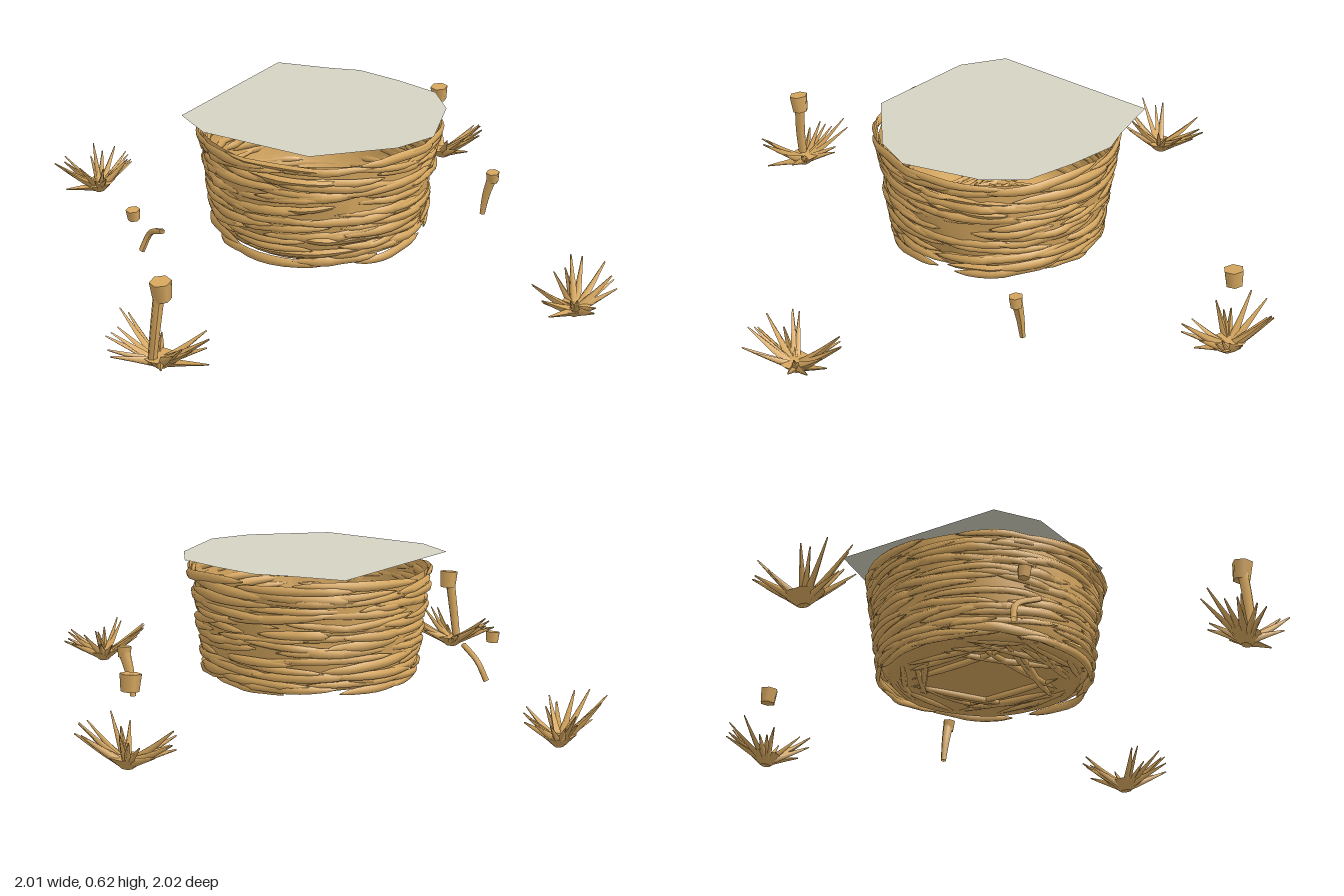
import * as THREE from 'three';
import { mergeGeometries } from 'three/addons/utils/BufferGeometryUtils.js';

let seed = 7;
const rand = (a = 0, b = 1) => {
  seed = (seed * 16807) % 2147483647;
  return a + (b - a) * (seed / 2147483647);
};
const V = (x, y, z) => new THREE.Vector3(x, y, z);

// Tube through points whose radius follows radiusAt(t); tall stretches it upright
function taperedTube(points, radiusAt, segs, sides, tall = 1) {
  const curve = new THREE.CatmullRomCurve3(points);
  const geo = new THREE.TubeGeometry(curve, segs, 1, sides);
  const pos = geo.attributes.position, nor = geo.attributes.normal;
  for (let i = 0; i <= segs; i++) {
    const p = curve.getPointAt(i / segs), r = radiusAt(i / segs);
    for (let j = 0; j <= sides; j++) {
      const k = i * (sides + 1) + j;
      pos.setXYZ(k, p.x + nor.getX(k) * r, p.y + nor.getY(k) * r * tall, p.z + nor.getZ(k) * r);
    }
  }
  geo.computeVertexNormals();
  return geo;
}

// Outer radius of the nest at a height
const wallRadius = y => 0.425 + 0.055 * Math.min(1, Math.max(0, (y - 0.13) / 0.42));

export function createModel() {
  seed = 7;
  const straw = new THREE.MeshStandardMaterial({ color: 0xd6a75f, side: THREE.DoubleSide });
  straw.name = 'straw';
  const pale = new THREE.MeshStandardMaterial({ color: 0xd5d3c2, side: THREE.DoubleSide });
  pale.name = 'paleSheet';
  const model = new THREE.Group();
  model.name = 'nestWithTufts';
  const add = (geo, mat, name, parent = model) => {
    const mesh = new THREE.Mesh(geo, mat);
    mesh.name = name;
    parent.add(mesh);
    return mesh;
  };

  // Bumpy bowl behind the twigs
  const profile = [[0.001, 0.16], [0.25, 0.15], [0.39, 0.14], [0.43, 0.19], [0.445, 0.28],
    [0.46, 0.38], [0.47, 0.48], [0.475, 0.57]].map(p => new THREE.Vector2(...p));
  const bowl = new THREE.LatheGeometry(profile, 32);
  const bp = bowl.attributes.position;
  for (let i = 0; i < bp.count; i++) {
    const a = Math.atan2(bp.getZ(i), bp.getX(i));
    const s = 1 + 0.012 * Math.sin(a * 7 + bp.getY(i) * 40);
    bp.setXYZ(i, bp.getX(i) * s, bp.getY(i), bp.getZ(i) * s);
  }
  bowl.computeVertexNormals();
  add(bowl, straw, 'nestBowl');

  // Twigs woven around the wall
  const twigTaper = r => t => r * (0.12 + 0.88 * Math.sqrt(Math.sin(Math.PI * t)));
  const twigs = [];
  for (let row = 0; row < 15; row++) {
    for (let k = 0; k < 9; k++) {
      const y0 = 0.15 + row * 0.0295 + rand(-0.01, 0.01);
      const start = (k / 9) * Math.PI * 2 + rand(0, 0.7);
      const arc = rand(0.7, 1.2), tilt = rand(-0.04, 0.04);
      const pts = [];
      for (let i = 0; i <= 5; i++) {
        const t = i / 5, a = start + arc * t;
        const y = Math.min(0.58, Math.max(0.135, y0 + tilt * (t - 0.5)));
        const r = wallRadius(y) + rand(-0.006, 0.013) + (y > 0.54 ? 0.008 : 0);
        pts.push(V(Math.cos(a) * r, y, Math.sin(a) * r));
      }
      twigs.push(taperedTube(pts, twigTaper(rand(0.01, 0.016)), 9, 5, 1.4));
    }
  }
  add(mergeGeometries(twigs), straw, 'wallTwigs');

  // Twigs crossing the floor
  const floorTwigs = [];
  for (let i = 0; i < 30; i++) {
    const a = rand(0, Math.PI * 2), b = a + rand(0.6, 2.2), r = rand(0.3, 0.41);
    const p = V(Math.cos(a) * r, 0.15, Math.sin(a) * r);
    const q = V(Math.cos(b) * r, 0.15, Math.sin(b) * r);
    const mid = p.clone().lerp(q, 0.5).setY(0.145);
    floorTwigs.push(taperedTube([p, mid, q], twigTaper(0.015), 6, 5));
  }
  add(mergeGeometries(floorTwigs), straw, 'floorTwigs');

  // Angular sheet lying over the rim
  const outline = [[-0.03, -0.605], [0.17, -0.48], [0.29, -0.42], [0.41, -0.26], [0.52, -0.08],
    [0.505, 0.11], [0.36, 0.39], [0.19, 0.465], [-0.16, 0.465], [-0.5, 0.12], [-0.55, -0.08]];
  const sheet = new THREE.ShapeGeometry(new THREE.Shape(outline.map(([x, z]) => new THREE.Vector2(x, -z))));
  sheet.rotateX(-Math.PI / 2);
  add(sheet, pale, 'topSheet').position.y = 0.622;

  // Sagging fold under the sheet
  const fold = new THREE.BufferGeometry();
  fold.setAttribute('position', new THREE.Float32BufferAttribute([
    0.505, 0.62, 0.11, 0.52, 0.62, -0.08, 0.38, 0.595, -0.05,
    0.19, 0.62, 0.465, 0.505, 0.62, 0.11, 0.38, 0.595, -0.05], 3));
  fold.computeVertexNormals();
  add(fold, pale, 'sheetFold');

  // Corner tufts, each fanning out to both sides
  const corners = [[1, 1], [1, -1], [-1, -1], [-1, 1]];
  corners.forEach(([sx, sz], c) => {
    const tuft = new THREE.Group();
    tuft.name = 'grassTuft' + (c + 1);
    const blades = [];
    for (let i = 0; i < 18; i++) {
      const side = i % 2 ? Math.PI : 0;
      const off = ((i >> 1) / 8 - 0.5) * 1.9 + rand(-0.1, 0.1);
      const a = side + off;
      const len = rand(0.17, 0.24) * (1 - 0.25 * Math.abs(off)), h = rand(0.07, 0.18);
      const at = (t, y) => V(Math.cos(a) * len * t, y, Math.sin(a) * len * t);
      blades.push(taperedTube([at(0.05, 0.025), at(0.5, 0.02 + h * 0.4), at(1, h)],
        t => 0.017 * (1 - t) + 0.003, 5, 4));
    }
    add(mergeGeometries(blades), straw, 'blades', tuft);
    const root = new THREE.CylinderGeometry(0.085, 0.025, 0.045, 9);
    root.scale(1, 1, 0.7);
    add(root, straw, 'root', tuft).position.y = 0.028;
    tuft.position.set(sx * 0.81, 0, sz * 0.82);
    tuft.rotation.y = sx * sz > 0 ? Math.PI / 4 : -Math.PI / 4;
    model.add(tuft);
  });

  // Seed heads: x, y, z, width, height
  [[-0.795, 0.32, 0.83, 0.082, 0.075], [0.79, 0.325, -0.825, 0.08, 0.065],
    [-0.772, 0.24, -0.012, 0.058, 0.045], [0.765, 0.24, -0.012, 0.058, 0.045]].forEach(([x, y, z, w, h]) => {
    const head = add(new THREE.CylinderGeometry(w * 0.5, w * 0.42, h, 6), straw, 'seedHead');
    head.position.set(x, y, z);
    head.rotation.set(0.05, 0.4, 0.08);
  });

  // Stalks
  const stalk = (pts, r0, r1) =>
    add(taperedTube(pts.map(p => V(...p)), t => r0 + (r1 - r0) * t, 8, 6), straw, 'stalk');
  stalk([[-0.84, 0.03, 0.83], [-0.825, 0.16, 0.835], [-0.805, 0.3, 0.83]], 0.018, 0.022);
  stalk([[-0.74, 0.06, -0.045], [-0.705, 0.14, -0.03], [-0.67, 0.19, 0.07]], 0.013, 0.012);
  stalk([[0.735, 0.06, -0.04], [0.745, 0.15, -0.03], [0.765, 0.24, -0.015]], 0.012, 0.024);
  return model;
}
